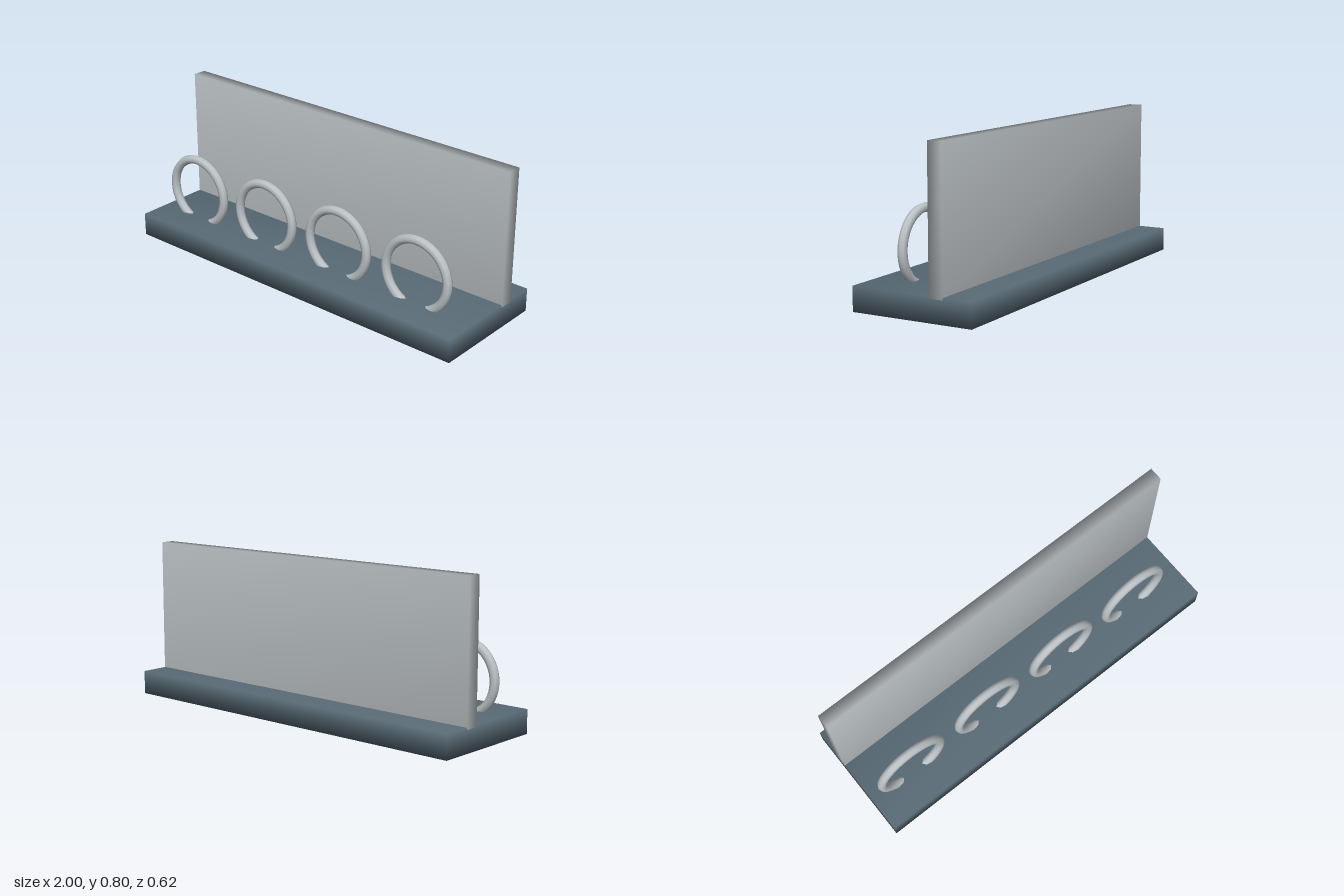
import * as THREE from 'three';
import { mergeVertices } from 'three/addons/utils/BufferGeometryUtils.js';

// Box with shared corners, so the shading runs smoothly round its edges
function softBox(w, h, d) {
  const box = new THREE.BoxGeometry(w, h, d);
  box.deleteAttribute('normal');
  box.deleteAttribute('uv');
  const welded = mergeVertices(box);
  welded.computeVertexNormals();
  return welded;
}

function addPart(parent, name, geometry, material, x, y, z) {
  const mesh = new THREE.Mesh(geometry, material);
  mesh.name = name;
  mesh.position.set(x, y, z);
  parent.add(mesh);
}

export function createModel() {
  const slate = new THREE.MeshStandardMaterial({ color: 0x586a75 });
  slate.name = 'slate';
  const paleGrey = new THREE.MeshStandardMaterial({ color: 0xbcc2c6 });
  paleGrey.name = 'paleGrey';

  const model = new THREE.Group();
  model.name = 'ringRack';

  // Slab and upright panel, the panel sunk slightly into the slab
  addPart(model, 'base', softBox(1.996, 0.12, 0.625), slate, 0, 0.06, 0);
  addPart(model, 'backPanel', softBox(2, 0.685, 0.07), paleGrey, 0, 0.4525, -0.132);

  // Row of rings, their lower ends buried in the slab
  const rings = new THREE.Group();
  rings.name = 'rings';
  const ringGeometry = new THREE.TorusGeometry(0.178, 0.023, 8, 48);
  for (let i = 0; i < 4; i++) {
    addPart(rings, 'ring', ringGeometry, paleGrey, -0.75 + i * 0.475, 0.264, 0.14);
  }
  model.add(rings);

  return model;
}
